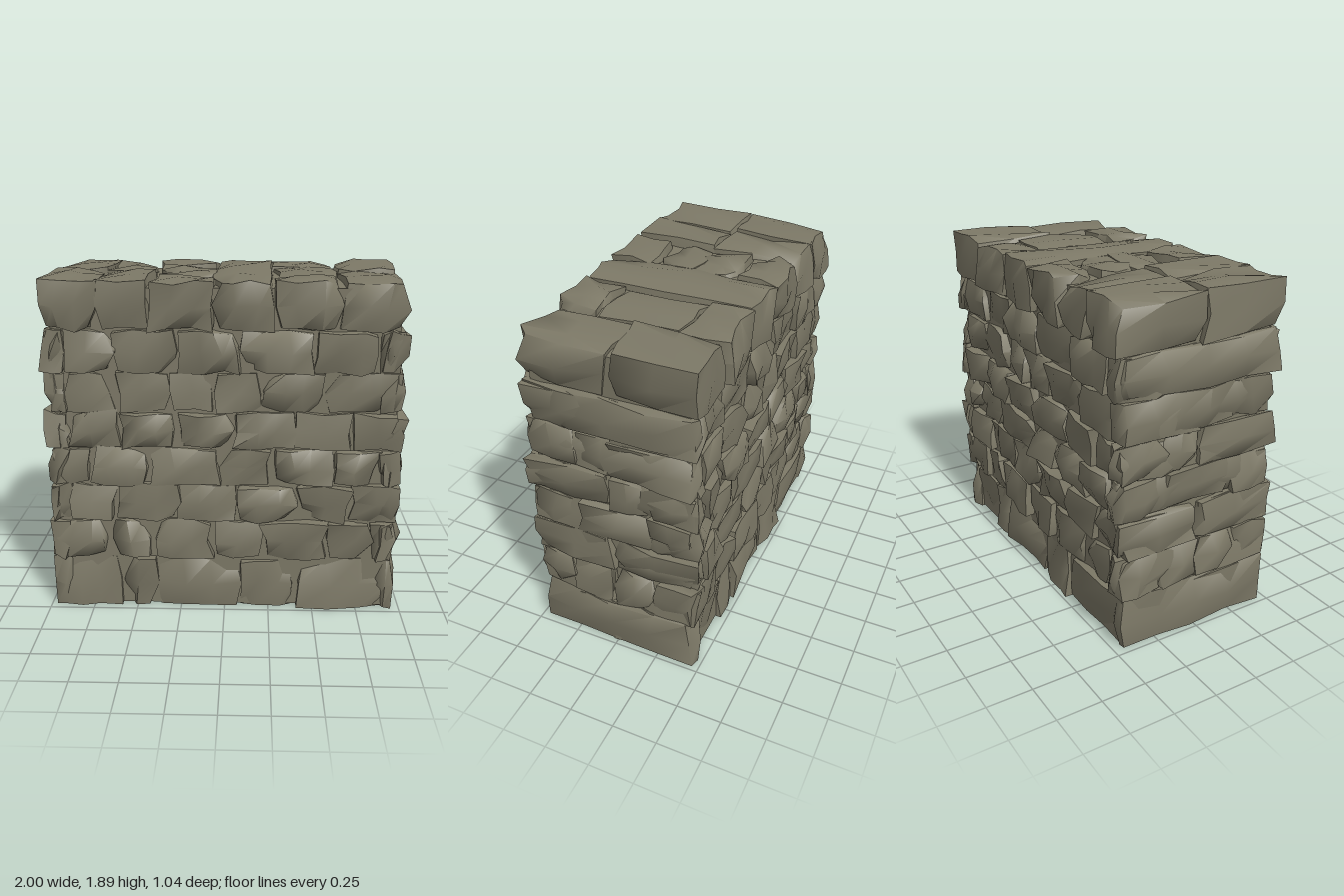
import * as THREE from 'three';
import { mergeVertices, toCreasedNormals } from 'three/addons/utils/BufferGeometryUtils.js';

// small seeded generator, returns -1..1
let seed = 77;
const rnd = () => {
  seed = (seed * 16807) % 2147483647;
  return (seed / 2147483647) * 2 - 1;
};

// courses below the cap: top height, half depth, inner joints of the front, cuts across the ends
const courses = [
  { top: 0.30, depth: 0.46, joints: [-0.58, -0.38, 0.10, 0.40], ends: [] },
  { top: 0.53, depth: 0.475, joints: [-0.65, -0.41, -0.07, 0.21, 0.58, 0.83], ends: [-0.24, 0, 0.25] },
  { top: 0.745, depth: 0.475, joints: [-0.86, -0.60, -0.25, 0.07, 0.40, 0.70], ends: [0] },
  { top: 0.955, depth: 0.475, joints: [-0.73, -0.42, -0.03, 0.25, 0.60, 0.84], ends: [-0.22, 0.2] },
  { top: 1.16, depth: 0.48, joints: [-0.85, -0.58, -0.27, 0.05, 0.40, 0.70], ends: [-0.22, 0] },
  { top: 1.38, depth: 0.47, joints: [-0.86, -0.60, -0.30, -0.05, 0.20, 0.54], ends: [0.2] },
  { top: 1.61, depth: 0.475, joints: [-0.87, -0.59, -0.25, 0.09, 0.48, 0.82], ends: [] },
];

// cap: columns along x, each cut across its depth
const cap = [
  { x: -0.67, cuts: [0] },
  { x: -0.39, cuts: [0] },
  { x: -0.06, cuts: [-0.25, 0, 0.23] },
  { x: 0.27, cuts: [] },
  { x: 0.61, cuts: [-0.24, 0.24] },
  { x: 0.975, cuts: [0] },
];
const END = 0.975;

// rough-hewn stone: a box with leaning faces, worn edges and chipped corners
function stoneGeometry(x0, x1, y0, y1, z0, z1) {
  const size = new THREE.Vector3(x1 - x0, y1 - y0, z1 - z0);
  const middle = new THREE.Vector3(x0 + x1, y0 + y1, z0 + z1).multiplyScalar(0.5);
  let geo = new THREE.BoxGeometry(size.x, size.y, size.z, size.x > 0.3 ? 3 : 2, 2, size.z > 0.6 ? 4 : 2);
  geo.deleteAttribute('uv');
  geo.deleteAttribute('normal');
  geo = mergeVertices(geo);
  const lean = { zx: rnd() * 0.03, zy: rnd() * 0.03, xz: rnd() * 0.02, xy: rnd() * 0.025, yx: rnd() * 0.015 };
  const p = geo.attributes.position;
  const v = new THREE.Vector3();
  for (let i = 0; i < p.count; i++) {
    v.fromBufferAttribute(p, i);
    const u = v.clone().divide(size);
    const sides = ['x', 'y', 'z'].filter((axis) => Math.abs(u[axis]) > 0.49);
    const onBed = y0 === 0 && u.y < -0.49;
    const chip = sides.length === 3 && rnd() > 0.45 ? 0.03 : 0;
    const wear = sides.length > 1 ? -0.01 - chip : 0.012;
    for (const axis of sides) v[axis] += Math.sign(u[axis]) * wear * (axis === 'y' ? 0.5 : 1);
    v.x += u.z * lean.xz + u.y * lean.xy + rnd() * Math.min(0.022, size.x * 0.12);
    v.y += u.x * lean.yx + rnd() * 0.014;
    v.z += u.x * lean.zx + u.y * lean.zy + rnd() * 0.022;
    v.add(middle);
    // flat bed under the wall, trimmed ends and top
    p.setXYZ(
      i,
      THREE.MathUtils.clamp(v.x, -1, 1),
      onBed ? 0 : THREE.MathUtils.clamp(v.y, 0, 1.9),
      THREE.MathUtils.clamp(v.z, -0.52, 0.52),
    );
  }
  return toCreasedNormals(geo, 1.1);
}

export function createModel() {
  seed = 77;
  const wall = new THREE.Group();
  wall.name = 'stoneWall';
  const stone = new THREE.MeshStandardMaterial({ color: 0x7d7967 });
  stone.name = 'grey stone';

  // solid core behind the joints
  const core = new THREE.Mesh(new THREE.BoxGeometry(1.86, 1.82, 0.87), stone);
  core.name = 'core';
  core.position.y = 0.92;
  wall.add(core);

  const addStone = (group, name, ...bounds) => {
    const mesh = new THREE.Mesh(stoneGeometry(...bounds), stone);
    mesh.name = name;
    group.add(mesh);
  };

  let bottom = 0;
  courses.forEach(({ top, depth, joints, ends }, row) => {
    const course = new THREE.Group();
    course.name = `course${row + 1}`;

    // face stones on both long sides, meeting in the middle
    const front = [-0.96, ...joints, 0.96];
    const back = front.map((x) => -x).reverse();
    for (let i = 0; i < front.length - 1; i++) {
      addStone(course, 'frontStone', front[i], front[i + 1], bottom, top, 0, depth + rnd() * 0.012);
      addStone(course, 'backStone', back[i], back[i + 1], bottom, top, -depth + rnd() * 0.012, 0);
    }

    // stones showing on the two short ends
    const cuts = [-depth, ...ends, depth];
    for (const side of [-1, 1]) {
      for (let i = 0; i < cuts.length - 1; i++) {
        const [x0, x1] = side < 0 ? [-END, -0.85] : [0.85, END];
        addStone(course, 'endStone', x0, x1, bottom, top, cuts[i], cuts[i + 1]);
      }
    }
    wall.add(course);
    bottom = top;
  });

  // cap stones laid across the whole depth
  const capCourse = new THREE.Group();
  capCourse.name = 'capCourse';
  let left = -END;
  for (const { x, cuts } of cap) {
    const edges = [-0.495, ...cuts, 0.495];
    for (let i = 0; i < edges.length - 1; i++) {
      addStone(capCourse, 'capStone', left, x, bottom, 1.87 + rnd() * 0.008, edges[i], edges[i + 1]);
    }
    left = x;
  }
  wall.add(capCourse);

  return wall;
}
